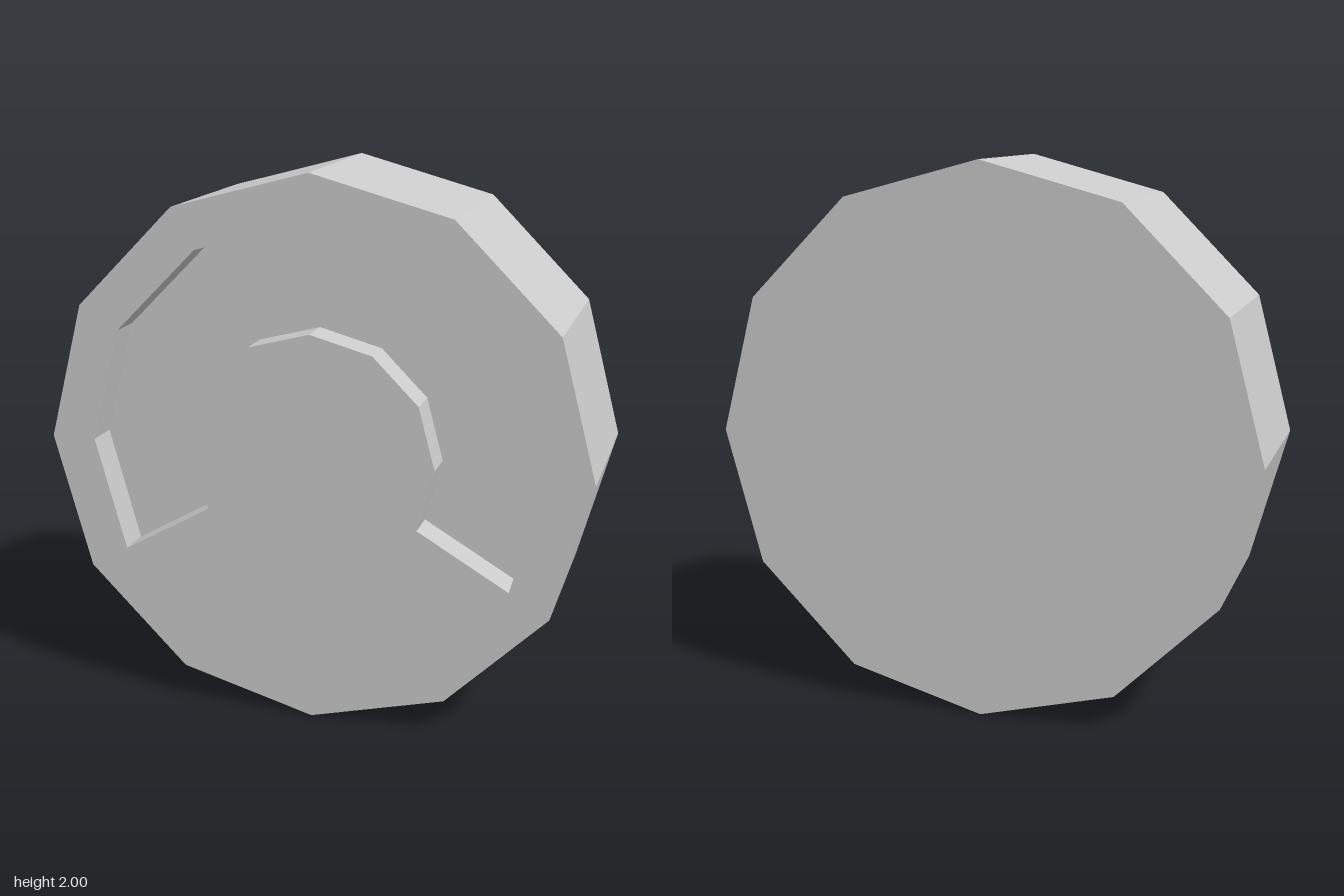
import * as THREE from 'three';

const HALF = 0.32;    // half thickness of the disc
const FLOOR = 0.196;  // z of the groove floor

// Points on a 12-sided ring, from step a to step b (30 degrees each)
function arc(radius, a, b) {
  const points = [];
  const dir = Math.sign(b - a);
  for (let i = 0; i <= Math.abs(b - a); i++) {
    const t = (a + dir * i) * Math.PI / 6;
    points.push(new THREE.Vector2(radius * Math.cos(t), 1 + radius * Math.sin(t)));
  }
  return points;
}

// Closed band of flat quads along an outline; counter-clockwise faces outward
function wall(points, z0, z1) {
  const positions = [];
  points.forEach((p, i) => {
    const q = points[(i + 1) % points.length];
    positions.push(
      p.x, p.y, z0, q.x, q.y, z0, q.x, q.y, z1,
      p.x, p.y, z0, q.x, q.y, z1, p.x, p.y, z1);
  });
  const geometry = new THREE.BufferGeometry();
  geometry.setAttribute('position', new THREE.Float32BufferAttribute(positions, 3));
  geometry.computeVertexNormals();
  return geometry;
}

export function createModel() {
  const model = new THREE.Group();
  model.name = 'groovedDisc';
  const material = new THREE.MeshStandardMaterial({ color: 0xcccccc, flatShading: true });
  const add = (name, geometry) => {
    const mesh = new THREE.Mesh(geometry, material);
    mesh.name = name;
    model.add(mesh);
  };

  const rim = arc(1, 0, 11);
  const groove = [...arc(0.833, -1, 7), ...arc(0.45, 7, -1)];

  // Twelve-sided body
  const front = new THREE.Shape(rim);
  front.holes.push(new THREE.Path(groove));
  add('frontFace', new THREE.ShapeGeometry(front).translate(0, 0, HALF));
  add('rim', wall(rim, -HALF, HALF));
  add('backFace', new THREE.ShapeGeometry(new THREE.Shape(rim)).rotateY(Math.PI).translate(0, 0, -HALF));

  // Horseshoe groove sunk into the front
  add('grooveFloor', new THREE.ShapeGeometry(new THREE.Shape(groove)).translate(0, 0, FLOOR));
  add('grooveWalls', wall([...groove].reverse(), FLOOR, HALF));

  return model;
}
